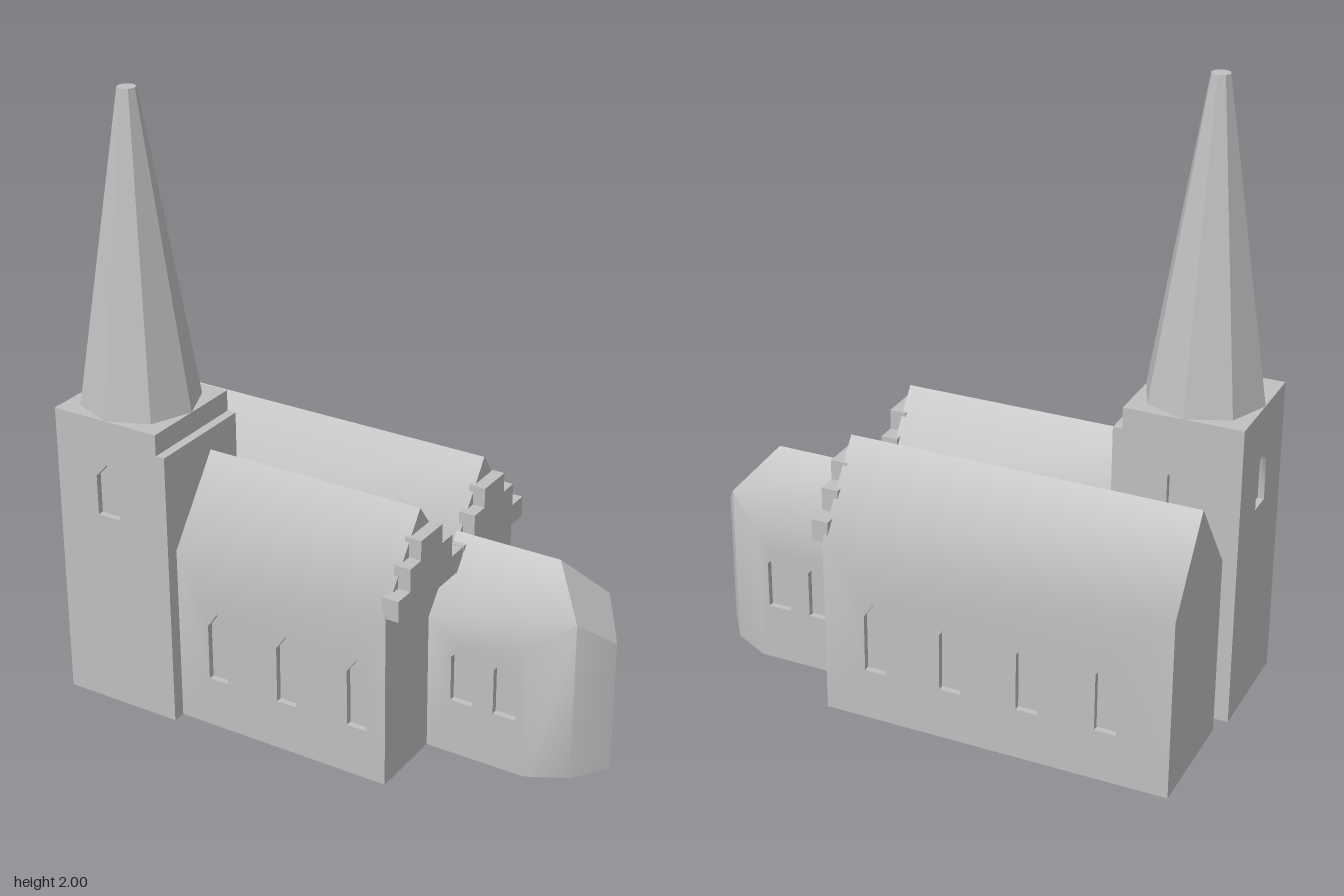
import * as THREE from 'three';
import { mergeGeometries, toCreasedNormals } from 'three/addons/utils/BufferGeometryUtils.js';

const stone = new THREE.MeshStandardMaterial({ color: 0xbfbfbf });
stone.name = 'stone';
const NICHE = 0.02;
const CREASE = THREE.MathUtils.degToRad(48);

// Convex polygons, each a loop of [x, y, z] seen counter-clockwise from outside
function polygons(list) {
  const pos = [];
  for (const p of list)
    for (let i = 1; i < p.length - 1; i++) pos.push(...p[0], ...p[i], ...p[i + 1]);
  const g = new THREE.BufferGeometry();
  g.setAttribute('position', new THREE.Float32BufferAttribute(pos, 3));
  return g;
}

function positionsOnly(geometry) {
  const g = geometry.toNonIndexed();
  g.deleteAttribute('normal');
  g.deleteAttribute('uv');
  return g;
}

// Pointed window outline centred on u
function windowLoop({ u, w, sill, spring, peak }) {
  const h = w / 2;
  return [[u - h, sill], [u + h, sill], [u + h, spring], [u, peak], [u - h, spring]]
    .map(([x, y]) => new THREE.Vector2(x, y));
}

// Rectangular wall facing +z with recessed windows, turned by angle and moved into place
function wall(u0, u1, height, windows, offset, angle = 0, cx = 0, cz = 0) {
  const shape = new THREE.Shape([
    new THREE.Vector2(u0, 0), new THREE.Vector2(u1, 0),
    new THREE.Vector2(u1, height), new THREE.Vector2(u0, height),
  ]);
  const parts = [];
  for (const win of windows) {
    const loop = windowLoop(win);
    shape.holes.push(new THREE.Path(loop));
    parts.push(positionsOnly(new THREE.ShapeGeometry(new THREE.Shape(loop)).translate(0, 0, -NICHE)));
    parts.push(polygons(loop.map((a, i) => {
      const b = loop[(i + 1) % loop.length];
      return [[a.x, a.y, 0], [b.x, b.y, 0], [b.x, b.y, -NICHE], [a.x, a.y, -NICHE]];
    })));
  }
  parts.push(positionsOnly(new THREE.ShapeGeometry(shape)));
  return mergeGeometries(parts).translate(0, 0, offset).rotateY(angle).translate(cx, 0, cz);
}

function mesh(name, geometry) {
  const m = new THREE.Mesh(geometry, stone);
  m.name = name;
  return m;
}

const body = (name, parts) => mesh(name, toCreasedNormals(mergeGeometries(parts), CREASE));

// Gabled hall running along x
function nave(name, x0, x1, zc, hw, southX, northX) {
  const e = 0.595, r = 0.86, s = zc + hw, n = zc - hw;
  const win = (u) => ({ u, w: 0.07, sill: 0.17, spring: 0.36, peak: 0.41 });
  const gable = (x) => [[x, 0, s], [x, 0, n], [x, e, n], [x, r, zc], [x, e, s]];
  return body(name, [
    wall(x0, x1, e, southX.map(win), hw, 0, 0, zc),
    wall(-x1, -x0, e, northX.map((x) => win(-x)), hw, Math.PI, 0, zc),
    polygons([
      [[x0, e, s], [x1, e, s], [x1, r, zc], [x0, r, zc]],
      [[x1, e, n], [x0, e, n], [x0, r, zc], [x1, r, zc]],
      gable(x1), gable(x0).reverse(),
      [[x0, 0, n], [x1, 0, n], [x1, 0, s], [x0, 0, s]],
    ]),
  ]);
}

// Chancel with a pointed, hipped apse
function chancel() {
  const c = -0.063, hw = 0.177, m = 0.112, x0 = 0.3, x1 = 0.645;
  const win = (u) => ({ u, w: 0.078, sill: 0.19, spring: 0.345, peak: 0.387 });
  const xs = [0.425, 0.572];
  const half = [
    [[x1, 0, hw], [0.77, 0, m], [0.77, 0.54, m], [x1, 0.46, hw]],
    [[0.77, 0, m], [0.852, 0, 0], [0.852, 0.445, 0], [0.77, 0.54, m]],
    [[x0, 0.46, hw], [x1, 0.46, hw], [0.77, 0.54, m], [0.655, 0.675, 0], [x0, 0.675, 0]],
    [[0.655, 0.675, 0], [0.77, 0.54, m], [0.852, 0.445, 0]],
    [[x0, 0, 0], [0.852, 0, 0], [0.77, 0, m], [x1, 0, hw], [x0, 0, hw]],
  ];
  const mirrored = half.map((p) => p.map(([x, y, z]) => [x, y, -z]).reverse());
  return body('chancel', [
    wall(x0, x1, 0.46, xs.map(win), hw, 0, 0, c),
    wall(-x1, -x0, 0.46, xs.map((x) => win(-x)), hw, Math.PI, 0, c),
    polygons([...half, ...mirrored]).translate(0, 0, c),
  ]);
}

// Square tower with windows on three sides, a shallow buttress and a spire
function tower() {
  const g = new THREE.Group();
  g.name = 'tower';
  const cx = -0.665, cz = 0.224, h = 0.19;
  const win = { u: 0, w: 0.083, sill: 0.67, spring: 0.805, peak: 0.85 };
  const walls = [0, 1, 2, 3].map((i) =>
    wall(-h, h, 1, i === 1 ? [] : [win], h, i * Math.PI / 2, cx, cz));
  const caps = polygons([
    [[-h, 1, h], [h, 1, h], [h, 1, -h], [-h, 1, -h]],
    [[-h, 0, -h], [h, 0, -h], [h, 0, h], [-h, 0, h]],
  ]).translate(cx, 0, cz);
  g.add(body('towerWalls', [...walls, caps]));

  const buttress = mesh('towerButtress', new THREE.BoxGeometry(0.03, 0.93, 2 * h));
  buttress.position.set(cx + h + 0.015, 0.465, cz);
  const spire = mesh('spire', toCreasedNormals(new THREE.CylinderGeometry(0.03, h, 1, 8), 0.3));
  spire.position.set(cx, 1.5, cz);
  g.add(buttress, spire);
  return g;
}

// Crow-stepped parapet across the east end of a nave
function steppedGable(name, zc) {
  const right = [[0.193, 0.58], [0.193, 0.65], [0.125, 0.65], [0.125, 0.725], [0.063, 0.725], [0.063, 0.79]];
  const left = right.map(([u, y]) => [-u, y]).reverse();
  const shape = new THREE.Shape([...right, ...left].map(([u, y]) => new THREE.Vector2(u, y)));
  const geo = new THREE.ExtrudeGeometry(shape, { depth: 0.055, bevelEnabled: false });
  const m = mesh(name, geo.rotateY(Math.PI / 2));
  m.position.set(0.291, 0, zc);
  return m;
}

export function createModel() {
  const church = new THREE.Group();
  church.name = 'church';
  church.add(
    nave('southNave', -0.455, 0.305, 0.173, 0.198, [-0.3, -0.047, 0.206], []),
    nave('northNave', -0.828, 0.305, -0.222, 0.197, [], [-0.626, -0.373, -0.12, 0.134]),
    steppedGable('southSteppedGable', 0.174),
    steppedGable('northSteppedGable', -0.217),
    chancel(),
    tower(),
  );
  return church;
}
